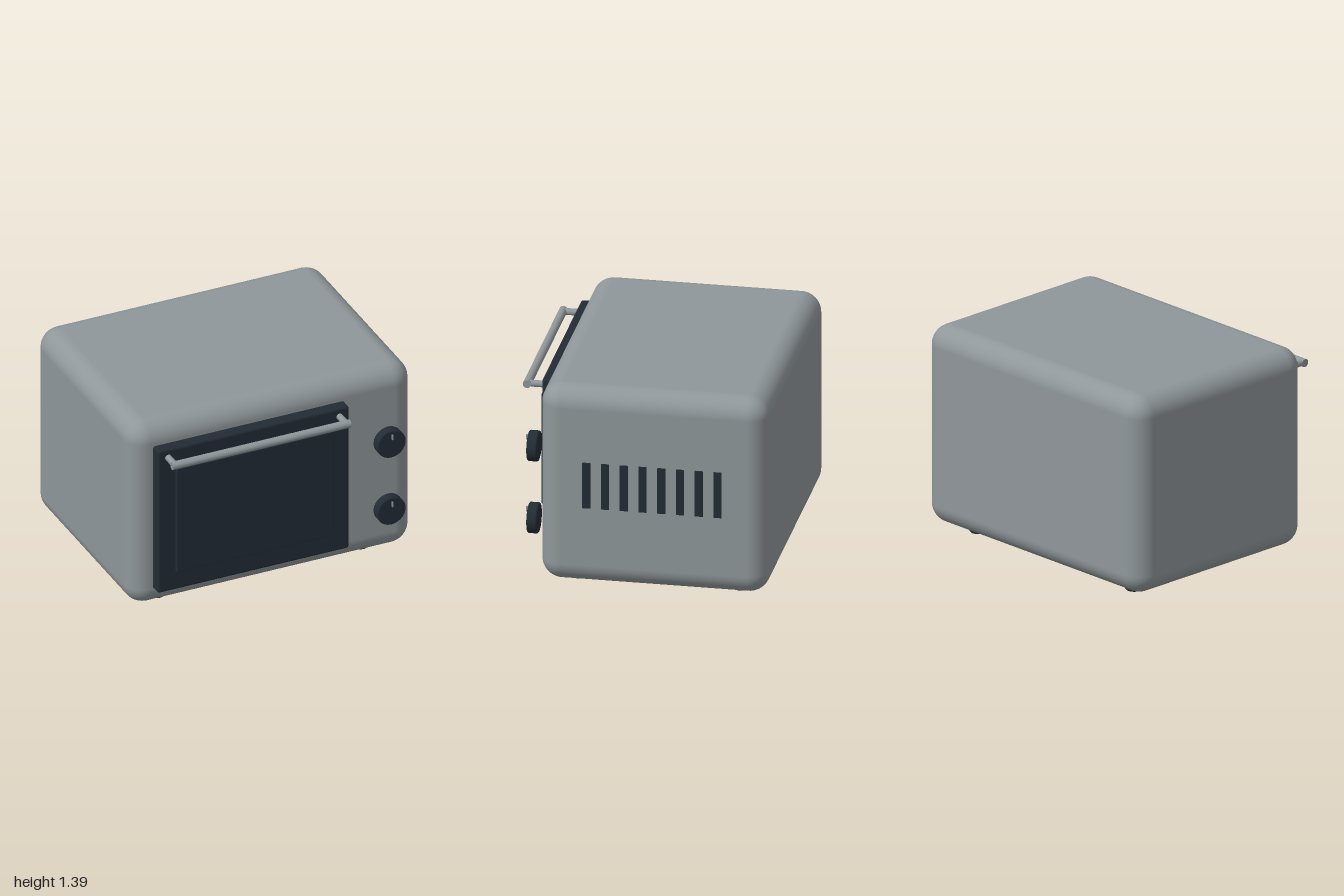
import * as THREE from 'three';
import { RoundedBoxGeometry } from 'three/addons/geometries/RoundedBoxGeometry.js';

const steel = new THREE.MeshStandardMaterial({ name: 'grey steel', color: 0x8f979a });
const dark = new THREE.MeshStandardMaterial({ name: 'dark slate', color: 0x222c35 });

export function createModel() {
  const model = new THREE.Group();
  model.name = 'toasterOven';

  const add = (name, geometry, material, x, y, z, parent = model) => {
    const mesh = new THREE.Mesh(geometry, material);
    mesh.name = name;
    mesh.position.set(x, y, z);
    parent.add(mesh);
    return mesh;
  };
  // Rounded box given by its limits on each axis
  const block = (name, [x0, x1], [y0, y1], [z0, z1], radius, segments, material) =>
    add(name, new RoundedBoxGeometry(x1 - x0, y1 - y0, z1 - z0, segments, radius), material,
      (x0 + x1) / 2, (y0 + y1) / 2, (z0 + z1) / 2);
  // Disc with softened rims, centred on its own axis (y)
  const disc = (r, h, b) => new THREE.LatheGeometry([
    [0, -h / 2], [r - b, -h / 2], [r - b, -h / 2], [r, -h / 2 + b], [r, -h / 2 + b],
    [r, h / 2 - b], [r, h / 2 - b], [r - b, h / 2], [r - b, h / 2], [0, h / 2],
  ].map(([x, y]) => new THREE.Vector2(x, y)), 40);

  // Housing
  block('body', [-0.998, 0.987], [0.053, 1.395], [-0.84, 0.636], 0.135, 8, steel);

  // Door and raised window panel
  block('door', [-0.85, 0.495], [0.19, 1.243], [0.6, 0.71], 0.018, 3, dark);
  block('window', [-0.727, 0.374], [0.33, 1.098], [0.69, 0.735], 0.008, 2, dark);

  // Door handle: bar on two posts
  const handle = new THREE.Group();
  handle.name = 'handle';
  model.add(handle);
  add('handleBar', new THREE.CylinderGeometry(0.027, 0.027, 1.25, 24), steel,
    -0.175, 1.183, 0.815, handle).rotation.z = Math.PI / 2;
  for (const x of [-0.777, 0.427]) {
    add('handlePost', new THREE.CylinderGeometry(0.022, 0.022, 0.115, 20), steel,
      x, 1.183, 0.757, handle).rotation.x = Math.PI / 2;
  }

  // Control knobs with pointer marks
  for (const y of [0.903, 0.407]) {
    const knob = new THREE.Group();
    knob.name = 'knob';
    knob.position.set(0.78, y, 0.706);
    model.add(knob);
    add('knobDial', disc(0.1, 0.066, 0.006), dark, 0, 0, 0, knob).rotation.x = Math.PI / 2;
    add('knobPointer', new THREE.BoxGeometry(0.007, 0.037, 0.012), steel, 0, 0.058, 0.044, knob);
  }

  // Vent slots on the left side
  for (let i = 0; i < 8; i++) {
    add('vent', new THREE.BoxGeometry(0.02, 0.311, 0.052), dark, 0.987, 0.744, 0.327 - i * 0.1214);
  }

  // Feet
  for (const x of [-0.723, 0.708]) {
    for (const z of [0.417, -0.616]) add('foot', disc(0.058, 0.07, 0.006), dark, x, 0.035, z);
  }

  return model;
}
